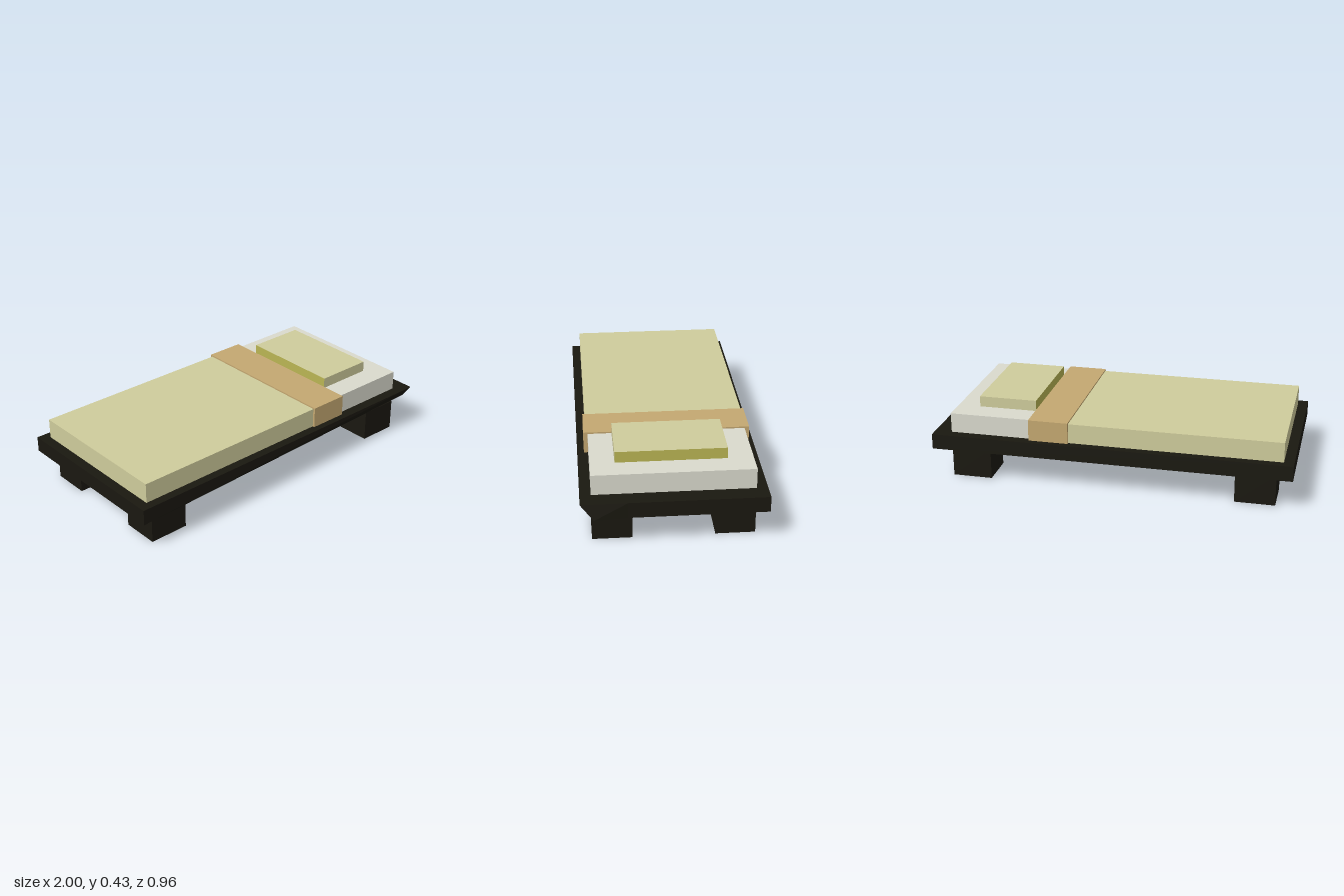
import * as THREE from 'three';

const mat = (color) => new THREE.MeshStandardMaterial({ color, flatShading: true });

// Box given by its lower and upper limits on each axis
function block(name, material, [x0, x1], [y0, y1], [z0, z1], depthSegments = 1) {
  const geometry = new THREE.BoxGeometry(x1 - x0, y1 - y0, z1 - z0, 1, 1, depthSegments);
  geometry.translate((x0 + x1) / 2, (y0 + y1) / 2, (z0 + z1) / 2);
  const mesh = new THREE.Mesh(geometry, material);
  mesh.name = name;
  return mesh;
}

export function createModel() {
  const group = new THREE.Group();
  group.name = 'bed';
  const wood = mat(0x1a1810);
  const cream = mat(0xcfcc9c);
  const olive = mat(0xbab654);
  const white = mat(0xdadace);
  const tan = mat(0xc4a871);

  // Platform, with the lower front corner at the head end bent outward
  const frame = block('frame', wood, [-1, 0.985], [0.175, 0.26], [-0.478, 0.478], 4);
  const p = frame.geometry.attributes.position;
  for (let i = 0; i < p.count; i++) {
    if (p.getX(i) > 0.9 && p.getY(i) < 0.2 && p.getZ(i) > 0.4) {
      p.setX(i, 1.0);
      p.setZ(i, 0.41);
    }
  }
  frame.geometry.computeVertexNormals();
  group.add(frame);

  // Four block legs
  for (const [x0, x1] of [[-0.91, -0.69], [0.67, 0.89]]) {
    for (const [z0, z1] of [[-0.42, -0.213], [0.213, 0.42]]) {
      group.add(block('leg', wood, [x0, x1], [0, 0.175], [z0, z1]));
    }
  }

  // Bedding
  group.add(block('mattress', white, [0.43, 0.89], [0.255, 0.37], [-0.42, 0.42]));
  group.add(block('blanket', cream, [-0.945, 0.225], [0.255, 0.37], [-0.432, 0.43]));
  group.add(block('blanketFold', tan, [0.22, 0.44], [0.255, 0.378], [-0.445, 0.442]));

  // Pillow with darker ends
  group.add(block('pillow', [olive, olive, cream, cream, cream, cream],
    [0.44, 0.765], [0.368, 0.43], [-0.285, 0.293]));

  return group;
}
